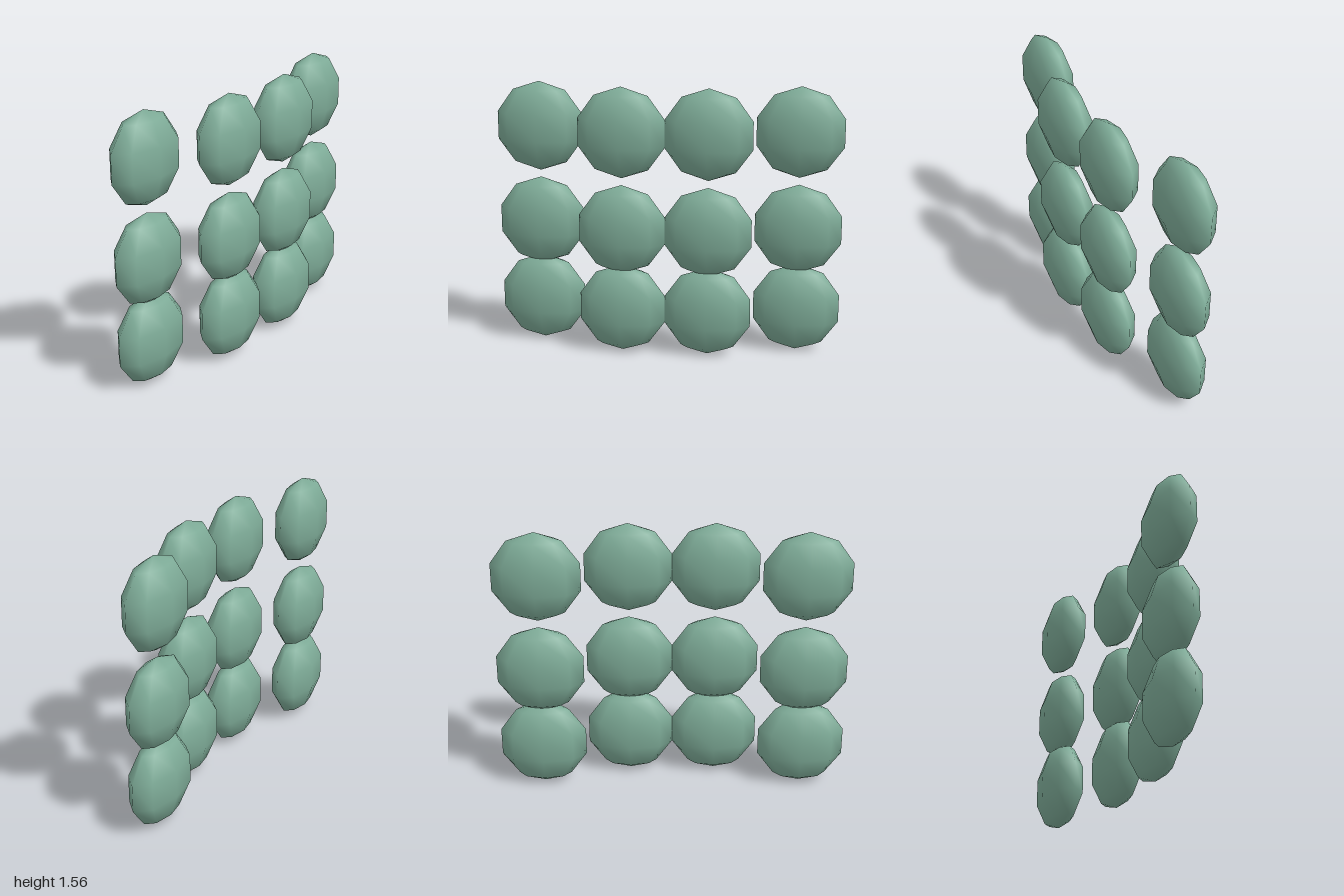
import * as THREE from 'three';

export function createModel() {
  const model = new THREE.Group();
  model.name = 'padArray';

  const green = new THREE.MeshStandardMaterial({ color: 0x7fad99 });
  green.name = 'sageGreen';

  // One coarse, smooth-shaded sphere shared by every pad, flattened along z
  const radius = 0.261;
  const padGeometry = new THREE.SphereGeometry(radius, 8, 5);
  padGeometry.scale(1, 1, 0.45);

  // Columns: the inner pair sits forward, the outer pair sits back
  const columns = [
    { x: -0.752, z: -0.076 },
    { x: -0.248, z: 0.076 },
    { x: 0.248, z: 0.076 },
    { x: 0.752, z: -0.076 },
  ];
  const rows = [
    { name: 'lowerRow', y: radius },
    { name: 'middleRow', y: 0.732 },
    { name: 'upperRow', y: 1.294 },
  ];

  for (const { name, y } of rows) {
    const row = new THREE.Group();
    row.name = name;
    row.position.y = y;
    columns.forEach(({ x, z }, i) => {
      const pad = new THREE.Mesh(padGeometry, green);
      pad.name = `pad${i + 1}`;
      pad.position.set(x, 0, z);
      row.add(pad);
    });
    model.add(row);
  }
  return model;
}
